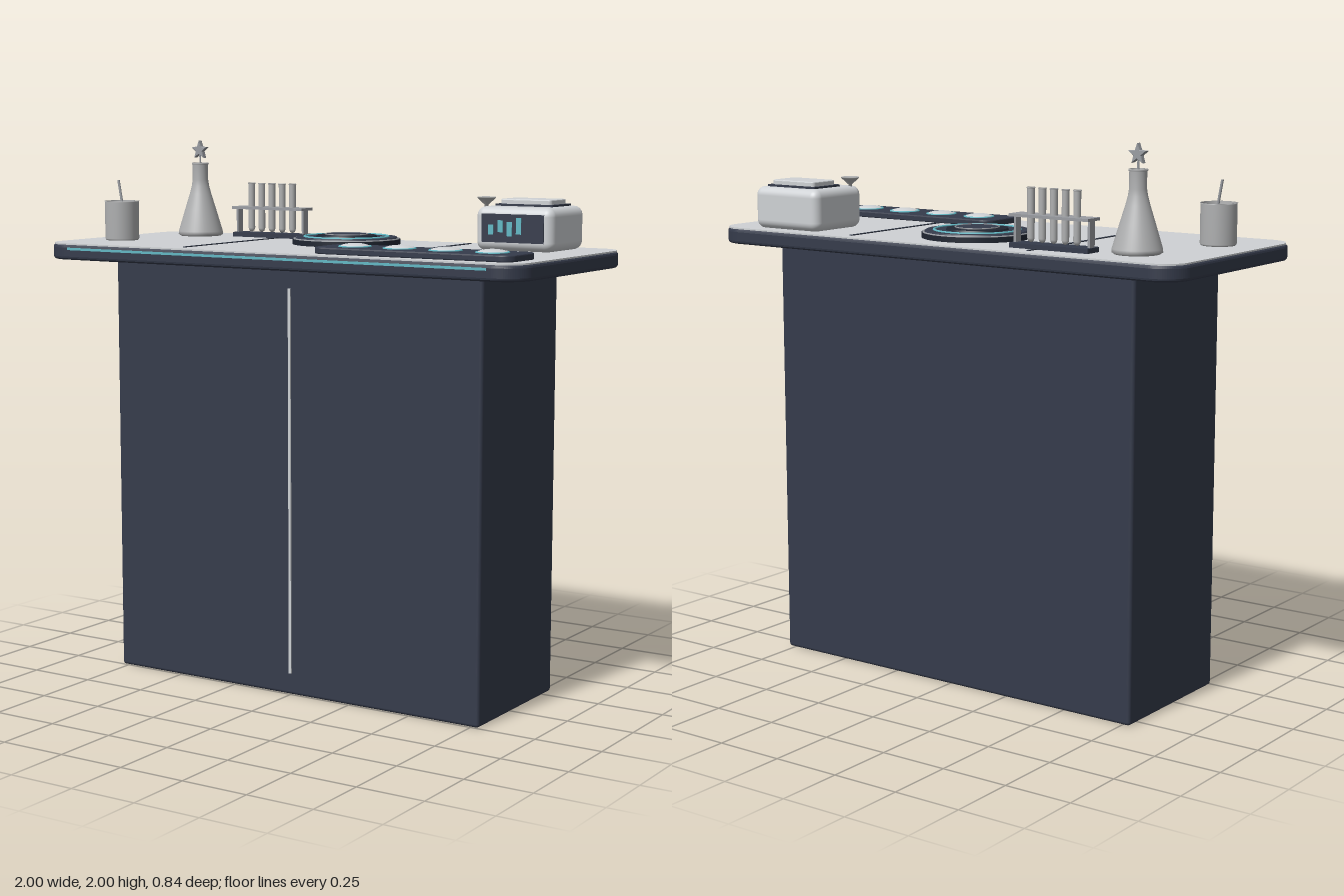
import * as THREE from 'three';
import { RoundedBoxGeometry } from 'three/addons/geometries/RoundedBoxGeometry.js';

const mat = (name, color, side = THREE.FrontSide) => {
  const m = new THREE.MeshStandardMaterial({ color, side });
  m.name = name;
  return m;
};

export function createModel() {
  const navy = mat('navy', 0x353b4b);
  const black = mat('nearBlack', 0x202632);
  const pale = mat('paleGrey', 0xcfd2d5);
  const glass = mat('glassGrey', 0xb0b1b2, THREE.DoubleSide);
  const metal = mat('metalGrey', 0x9a9da2);
  const cyan = mat('cyan', 0x62b8c4);

  const root = new THREE.Group();
  root.name = 'labCounter';
  const group = (name, x, y, z) => {
    const g = new THREE.Group();
    g.name = name;
    g.position.set(x, y, z);
    root.add(g);
    return g;
  };
  const add = (name, geo, m, x = 0, y = 0, z = 0, parent = root) => {
    const mesh = new THREE.Mesh(geo, m);
    mesh.name = name;
    mesh.position.set(x, y, z);
    parent.add(mesh);
    return mesh;
  };
  const box = (w, h, d) => new THREE.BoxGeometry(w, h, d);
  const cyl = (rt, rb, h, n = 48) => new THREE.CylinderGeometry(rt, rb, h, n);
  const lathe = (pts, n = 40) => new THREE.LatheGeometry(pts.map(([r, y]) => new THREE.Vector2(r, y)), n);

  // Horizontal plate with rounded corners, bottom at y = 0
  const plate = (w, d, h, r, bevel = 0) => {
    const x = w / 2 - bevel, y = d / 2 - bevel, s = new THREE.Shape();
    s.moveTo(-x + r, -y);
    s.lineTo(x - r, -y);
    s.absarc(x - r, -y + r, r, -Math.PI / 2, 0);
    s.lineTo(x, y - r);
    s.absarc(x - r, y - r, r, 0, Math.PI / 2);
    s.lineTo(-x + r, y);
    s.absarc(-x + r, y - r, r, Math.PI / 2, Math.PI);
    s.lineTo(-x, -y + r);
    s.absarc(-x + r, -y + r, r, Math.PI, Math.PI * 1.5);
    const g = new THREE.ExtrudeGeometry(s, {
      depth: h - 2 * bevel, curveSegments: 10, bevelEnabled: bevel > 0,
      bevelSize: bevel, bevelThickness: bevel, bevelSegments: 3,
    });
    return g.rotateX(-Math.PI / 2).translate(0, bevel, 0);
  };

  // Cabinet and door gap
  add('cabinet', new RoundedBoxGeometry(1.56, 1.57, 0.56, 3, 0.012), navy, 0, 0.785, -0.03);
  add('doorSeam', box(0.01, 1.41, 0.008), pale, 0, 0.785, 0.251);

  // Counter slab, pale worktop and glowing front strip
  add('counterSlab', plate(2, 0.835, 0.057, 0.09, 0.012), navy, 0, 1.567, -0.0025);
  add('worktop', plate(1.988, 0.823, 0.006, 0.094), pale, 0, 1.622, -0.0025);
  add('frontStrip', box(1.76, 0.009, 0.006), cyan, 0, 1.608, 0.4145);
  for (const x of [-0.39, 0.39]) add('worktopSeam', box(0.011, 0.004, 0.72), navy, x, 1.629, -0.01);

  // Round stepped platform
  const disc = group('roundPlatform', 0, 1.627, -0.13);
  add('platformBase', cyl(0.2, 0.2, 0.02, 64), black, 0, 0.01, 0, disc);
  add('platformStep', cyl(0.185, 0.192, 0.01, 64), navy, 0, 0.023, 0, disc);
  add('platformHub', cyl(0.11, 0.115, 0.01), black, 0, 0.029, 0, disc);
  add('platformCentre', cyl(0.078, 0.08, 0.008), navy, 0, 0.034, 0, disc);
  const ring = (r, t, m, y) =>
    add('platformRing', new THREE.TorusGeometry(r, t, 8, 64).rotateX(Math.PI / 2), m, 0, y, 0, disc);
  ring(0.155, 0.005, cyan, 0.028);
  ring(0.193, 0.004, metal, 0.02);
  ring(0.079, 0.002, metal, 0.038);

  // Control pad with four domed buttons
  const pad = group('controlPad', 0.55, 1.627, 0.26);
  add('padBase', plate(0.78, 0.205, 0.024, 0.04, 0.005), navy, 0, 0, 0, pad);
  for (let i = 0; i < 4; i++) {
    const x = -0.27 + i * 0.18;
    add('buttonRing', new THREE.TorusGeometry(0.055, 0.004, 8, 40).rotateX(Math.PI / 2), cyan, x, 0.024, 0, pad);
    const dome = add('button', new THREE.SphereGeometry(0.053, 32, 10, 0, Math.PI * 2, 0, Math.PI / 2), pale, x, 0.023, 0, pad);
    dome.scale.y = 0.25;
  }

  // Analyser with lid, screen and funnel
  const unit = group('analyser', 0.703, 1.627, -0.237);
  add('analyserBody', new RoundedBoxGeometry(0.305, 0.155, 0.266, 4, 0.032), pale, 0, 0.0775, 0, unit);
  add('lidFrame', plate(0.228, 0.152, 0.012, 0.008), navy, -0.001, 0.15, -0.026, unit);
  add('lid', plate(0.202, 0.126, 0.024, 0.01, 0.004), pale, -0.001, 0.155, -0.026, unit);
  add('screen', box(0.245, 0.1, 0.006), navy, 0, 0.081, 0.132, unit);
  [[-0.085, 0.075, 0.035], [-0.047, 0.088, 0.042], [-0.011, 0.079, 0.05], [0.025, 0.09, 0.058]].forEach(([x, y, h]) =>
    add('screenBar', box(0.02, h, 0.004), cyan, x, y, 0.135, unit));
  add('funnel', lathe([[0.006, 0.145], [0.007, 0.16], [0.033, 0.184], [0.033, 0.188], [0.026, 0.184], [0, 0.168]], 24), glass, -0.126, 0, 0.092, unit);
  add('funnelFill', cyl(0.024, 0.021, 0.003, 24), cyan, -0.126, 0.18, 0.092, unit);

  // Test tube rack
  const rack = group('testTubeRack', -0.44, 1.627, -0.288);
  add('rackBase', plate(0.325, 0.075, 0.018, 0.006), navy, 0, 0, 0, rack);
  for (const x of [-0.152, 0.152]) add('rackPost', box(0.009, 0.1, 0.03), metal, x, 0.065, 0, rack);
  const deck = new THREE.Shape([[-0.1625, -0.0375], [0.1625, -0.0375], [0.1625, 0.0375], [-0.1625, 0.0375]].map(p => new THREE.Vector2(...p)));
  for (let i = 0; i < 5; i++) {
    const x = -0.095 + i * 0.0475;
    deck.holes.push(new THREE.Path().absarc(x, 0, 0.0125, 0, Math.PI * 2, true));
    add('testTube', lathe([[0, 0.02], [0.009, 0.024], [0.013, 0.035], [0.013, 0.204], [0.015, 0.206], [0.015, 0.209], [0.011, 0.209], [0.011, 0.14]], 20), glass, x, 0, 0, rack);
    add('tubeFill', cyl(0.0112, 0.0112, 0.004, 20), i === 3 ? cyan : pale, x, 0.14, 0, rack);
  }
  add('rackDeck', new THREE.ExtrudeGeometry(deck, { depth: 0.01, bevelEnabled: false, curveSegments: 8 }).rotateX(-Math.PI / 2), metal, 0, 0.108, 0, rack);

  // Conical flask with a star on a stem
  const flask = group('flask', -0.735, 1.627, -0.225);
  add('flaskBody', lathe([[0, 0.002], [0.078, 0.002], [0.087, 0.008], [0.086, 0.02], [0.062, 0.1], [0.042, 0.165], [0.034, 0.195], [0.03, 0.22],
    [0.03, 0.276], [0.033, 0.28], [0.033, 0.285], [0.027, 0.285], [0.027, 0.21]]), glass, 0, 0, 0, flask);
  add('starStem', cyl(0.004, 0.004, 0.13, 10), metal, 0, 0.27, 0, flask);
  const star = new THREE.Shape();
  for (let i = 0; i < 10; i++) {
    const r = i % 2 ? 0.014 : 0.034, a = Math.PI / 2 + i * Math.PI / 5;
    star[i ? 'lineTo' : 'moveTo'](r * Math.cos(a), r * Math.sin(a));
  }
  add('star', new THREE.ExtrudeGeometry(star, { depth: 0.016, bevelEnabled: true, bevelSize: 0.002, bevelThickness: 0.003, bevelSegments: 1 }),
    metal, 0, 0.334, -0.008, flask);

  // Beaker with stirring rod
  const beaker = group('beaker', -0.83, 1.627, 0.15);
  add('beakerBody', lathe([[0, 0.002], [0.06, 0.002], [0.064, 0.008], [0.064, 0.146], [0.066, 0.149], [0.061, 0.149], [0.06, 0.012], [0, 0.012]]), glass, 0, 0, 0, beaker);
  const rod = new THREE.LineCurve3(new THREE.Vector3(0.034, 0.014, 0.012), new THREE.Vector3(-0.005, 0.228, 0.012));
  add('stirringRod', new THREE.TubeGeometry(rod, 1, 0.005, 10), metal, 0, 0, 0, beaker);

  return root;
}
